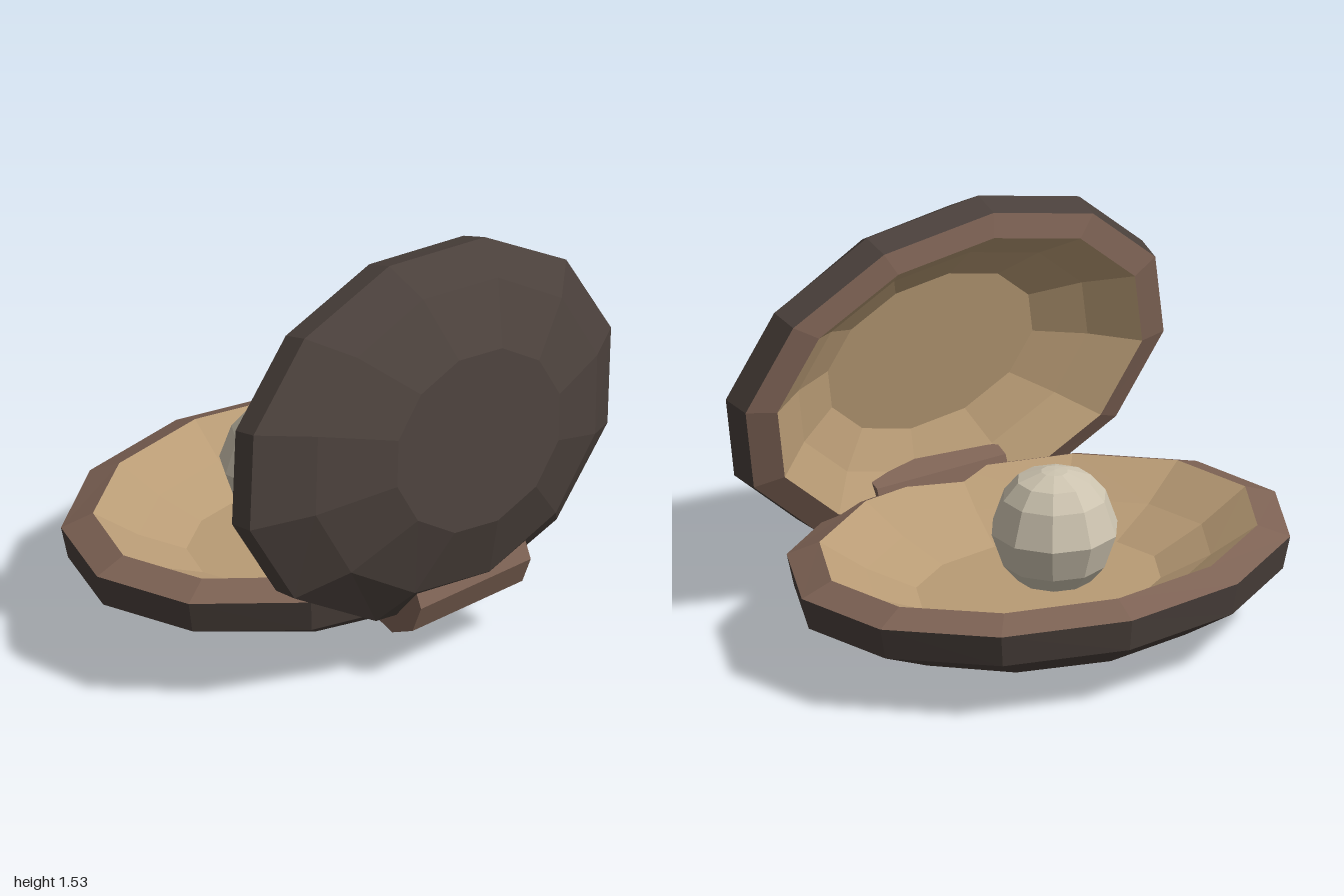
import * as THREE from 'three';

const SIDES = 12;
const PHASE = THREE.MathUtils.degToRad(6);

// Faceted oval surface through rings of [radiusX, height, radiusZ], facing outward as the rings rise
function ovalBand(rings) {
  const pos = [];
  const point = ([rx, h, rz], k) => {
    const a = PHASE + (k % SIDES) * Math.PI * 2 / SIDES;
    return [rx * Math.sin(a), h, -rz * Math.cos(a)];
  };
  for (let i = 0; i < rings.length - 1; i++) {
    const lo = rings[i], hi = rings[i + 1];
    for (let k = 0; k < SIDES; k++) {
      const a = point(lo, k), b = point(hi, k), c = point(hi, k + 1), d = point(lo, k + 1);
      if (hi[0] > 0) pos.push(...a, ...b, ...c);
      if (lo[0] > 0) pos.push(...a, ...(hi[0] > 0 ? c : b), ...d);
    }
  }
  const g = new THREE.BufferGeometry();
  g.setAttribute('position', new THREE.Float32BufferAttribute(pos, 3));
  g.computeVertexNormals();
  return g;
}

export function createModel() {
  const mat = (name, color) => {
    const m = new THREE.MeshStandardMaterial({ color, flatShading: true });
    m.name = name;
    return m;
  };
  const shellMat = mat('dark shell', 0x4a403b);
  const rimMat = mat('brown rim', 0x7d6254);
  const innerMat = mat('tan lining', 0xb89b75);
  const pearlMat = mat('pearl', 0xcdc4b0);

  const model = new THREE.Group();
  model.name = 'openOyster';
  const add = (parent, name, geometry, material) => {
    const mesh = new THREE.Mesh(geometry, material);
    mesh.name = name;
    parent.add(mesh);
    return mesh;
  };

  // One half: dark outside, brown lip, tan hollow
  function shellHalf(name, outside, lip, hollow) {
    const half = new THREE.Group();
    half.name = name;
    const edge = outside[outside.length - 1];
    add(half, name + 'Outside', ovalBand([[0, 0, 0], ...outside]), shellMat);
    add(half, name + 'Rim', ovalBand([edge, lip]), rimMat);
    add(half, name + 'Lining', ovalBand([lip, ...hollow, [0, 0.2, 0]]), innerMat);
    model.add(half);
    return half;
  }

  const lower = shellHalf('lowerShell',
    [[0.385, 0, 0.312], [0.715, 0.115, 0.585], [0.97, 0.225, 0.75], [1.0, 0.35, 0.77]],
    [0.875, 0.397, 0.66],
    [[0.69, 0.285, 0.515], [0.49, 0.2, 0.365]]);
  lower.position.z = -0.095;

  const upper = shellHalf('upperShell',
    [[0.43, 0, 0.332], [0.745, 0.116, 0.565], [0.955, 0.253, 0.68], [0.94, 0.362, 0.667]],
    [0.82, 0.397, 0.58],
    [[0.65, 0.285, 0.46], [0.46, 0.2, 0.325]]);
  upper.rotation.x = -THREE.MathUtils.degToRad(99.7);
  upper.position.set(0, 0.906, 0.809);

  // Eight-sided hinge bar across the back
  const hinge = add(model, 'hinge', new THREE.CylinderGeometry(0.15, 0.15, 0.57, 8), rimMat);
  hinge.rotation.z = Math.PI / 2;
  hinge.position.set(0, 0.31, 0.645);

  // Pearl resting in the lower shell
  const profile = [[0, -0.235], [0.06, -0.23], [0.14, -0.195], [0.195, -0.13], [0.24, 0],
    [0.195, 0.13], [0.14, 0.195], [0.05, 0.228], [0, 0.232]].map(([r, y]) => new THREE.Vector2(r, y));
  const pearl = add(model, 'pearl', new THREE.LatheGeometry(profile, 10), pearlMat);
  pearl.position.set(0, 0.458, -0.2);

  return model;
}
